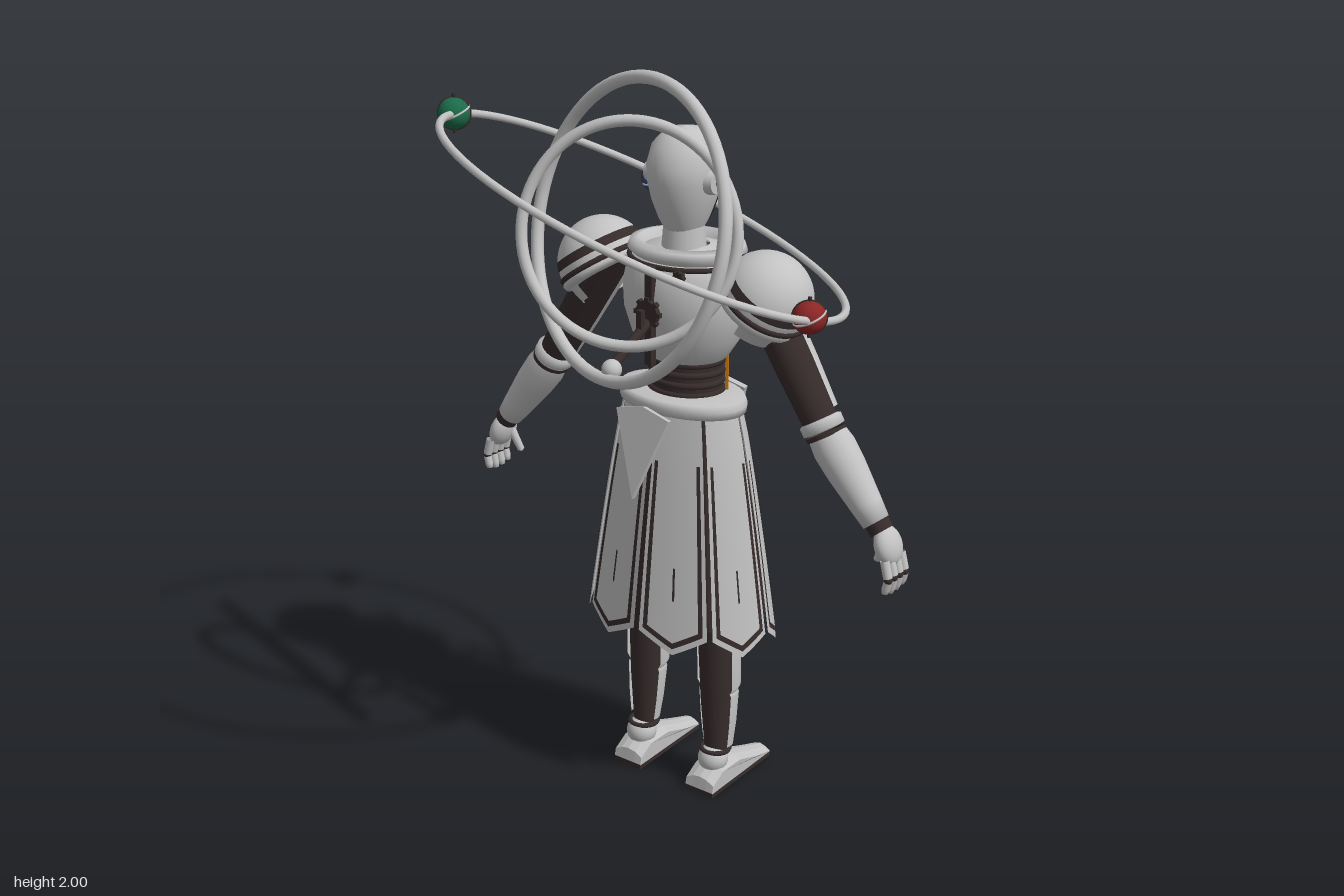
import * as THREE from 'three';

const mat = (name, hex, double) => {
  const m = new THREE.MeshStandardMaterial({ color: hex });
  m.name = name;
  if (double) m.side = THREE.DoubleSide;
  return m;
};
const V = (x, y, z) => new THREE.Vector3(x, y, z);
const BODY_Z = -0.17;

export function createModel() {
  const model = new THREE.Group();
  const shell = mat('pale shell', 0xc2c2c2, true);
  const dark = mat('dark joint', 0x362b2b, true);
  const orange = mat('orange glow', 0xc77a14);
  const red = mat('red', 0x8c2626);
  const green = mat('green', 0x1c6b4a);
  const blue = mat('blue', 0x2a478f);

  const add = (name, geo, m, pos = [0, 0, 0], parent = model, rot = [0, 0, 0], scale = [1, 1, 1]) => {
    const mesh = new THREE.Mesh(geo, m);
    mesh.name = name;
    mesh.position.set(...pos);
    mesh.rotation.set(...rot);
    mesh.scale.set(...scale);
    parent.add(mesh);
    return mesh;
  };
  const ball = r => new THREE.SphereGeometry(r, 24, 16);
  const lathe = (pts, start = 0, len = Math.PI * 2, seg = 36) =>
    new THREE.LatheGeometry(pts.map(p => new THREE.Vector2(p[0], p[1])), seg, start, len);
  // tapered limb from low point a to high point b; profile is [radius, fraction]
  const limb = (name, a, b, profile, m, parent, start, len) => {
    const d = b.clone().sub(a), L = d.length();
    const mesh = add(name, lathe(profile.map(p => [p[0], p[1] * L]), start, len, 24), m, a.toArray(), parent);
    mesh.quaternion.setFromUnitVectors(V(0, 1, 0), d.normalize());
    return mesh;
  };

  // head: egg profile with a dark jaw mask, eyes and ear discs
  const head = new THREE.Group();
  head.name = 'head';
  head.position.z = BODY_Z;
  head.scale.z = 1.1;
  model.add(head);
  add('skull', lathe([[0.045, 1.565], [0.063, 1.6], [0.081, 1.65], [0.092, 1.7], [0.093, 1.74], [0.08, 1.79], [0.048, 1.825], [0, 1.835]]), shell, [0, 0, 0], head);
  add('jawMask', lathe([[0.062, 1.588], [0.068, 1.6], [0.086, 1.65]], Math.PI - 0.75, 1.5), dark, [0, 0, 0], head);
  add('noseSlot', new THREE.BoxGeometry(0.05, 0.016, 0.008), dark, [0, 1.668, -0.089], head);
  for (const s of [1, -1]) {
    const eyeRot = [Math.PI / 2, 0, s * 0.48];
    add('eyeSocket', new THREE.CylinderGeometry(0.026, 0.026, 0.012, 12), dark, [s * 0.043, 1.7, -0.08], head, eyeRot);
    add('eye', new THREE.CylinderGeometry(0.015, 0.015, 0.012, 12), orange, [s * 0.045, 1.7, -0.084], head, eyeRot);
    add('ear', new THREE.CylinderGeometry(0.03, 0.034, 0.024, 24), shell, [s * 0.096, 1.705, 0], head, [0, 0, -s * Math.PI / 2]);
    add('earCap', new THREE.CylinderGeometry(0.011, 0.011, 0.006, 12), dark, [s * 0.109, 1.705, 0], head, [0, 0, -s * Math.PI / 2]);
  }
  add('neck', new THREE.CylinderGeometry(0.052, 0.06, 0.1, 24), shell, [0, 1.55, BODY_Z]);

  // torso: bulging chest, collar and dark ribbed waist
  const torso = new THREE.Group();
  torso.name = 'torso';
  torso.position.z = BODY_Z - 0.015;
  torso.scale.z = 0.87;
  model.add(torso);
  add('chest', lathe([[0.1, 1.225], [0.115, 1.235], [0.15, 1.29], [0.172, 1.36], [0.175, 1.42], [0.165, 1.47], [0.14, 1.51], [0.06, 1.53]]), shell, [0, 0, 0], torso);
  add('collar', lathe([[0.115, 1.505], [0.14, 1.497], [0.162, 1.515], [0.155, 1.535], [0.13, 1.54], [0.115, 1.505]]), shell, [0, 0, 0], torso);
  add('collarSeam', new THREE.TorusGeometry(0.157, 0.007, 8, 40), dark, [0, 1.495, 0], torso, [Math.PI / 2, 0, 0]);
  add('waist', new THREE.CylinderGeometry(0.1, 0.1, 0.2, 32), dark, [0, 1.16, 0], torso);
  for (let i = 0; i < 4; i++) {
    add('waistRib', new THREE.TorusGeometry(0.1, 0.009, 8, 32), dark, [0, 1.14 + i * 0.028, 0], torso, [Math.PI / 2, 0, 0]);
  }
  for (const a of [-1.1, -0.4, 0.4, 1.1]) {
    add('waistLight', new THREE.BoxGeometry(0.011, 0.1, 0.009), orange, [Math.sin(a) * 0.111, 1.185, -Math.cos(a) * 0.111], torso, [0, -a, 0]);
  }
  for (const s of [1, -1]) {
    add('chestSeam', lathe([[0.117, 1.235], [0.152, 1.29], [0.174, 1.36], [0.177, 1.42], [0.167, 1.47]], Math.PI + s * 0.68 - 0.03, 0.06, 2), dark, [0, 0, 0], torso);
  }

  // chest lamp and toothed dial
  const face = [Math.PI / 2, 0, 0];
  add('lampRim', new THREE.TorusGeometry(0.055, 0.009, 10, 32), shell, [0, 1.36, -0.34]);
  add('lamp', ball(0.053), orange, [0, 1.36, -0.335], model, [0, 0, 0], [1, 1, 0.3]);
  const gear = (name, x, y, z, r) => {
    const g = new THREE.Group();
    g.name = name;
    g.position.set(x, y, z);
    model.add(g);
    add('gearDisc', new THREE.CylinderGeometry(r, r, 0.014, 24), dark, [0, 0, 0], g, face);
    for (let i = 0; i < 8; i++) {
      const a = i * Math.PI / 4;
      add('gearTooth', new THREE.BoxGeometry(r * 0.4, r * 0.35, 0.014), dark, [Math.cos(a) * r, Math.sin(a) * r, 0], g, [0, 0, a]);
    }
    return g;
  };
  const dial = gear('chestDial', -0.11, 1.44, -0.34, 0.036);
  add('dialRing', new THREE.TorusGeometry(0.03, 0.006, 8, 24), shell, [0, 0, -0.009], dial);
  add('dialGem', ball(0.014), green, [0, 0, -0.008], dial);

  // spine mechanism and ring mount
  add('spine', new THREE.BoxGeometry(0.022, 0.26, 0.02), dark, [0, 1.37, -0.032]);
  gear('spineGear', 0, 1.38, -0.022, 0.034);
  gear('smallGear', 0.075, 1.48, -0.052, 0.015);
  limb('ringStrut', V(0, 1.27, 0.13), V(0, 1.36, -0.03), [[0.013, 0], [0.013, 1]], dark);
  add('ringBracket', new THREE.BoxGeometry(0.016, 0.11, 0.016), dark, [0, 1.34, 0.008]);
  add('ringHub', ball(0.026), shell, [0.01, 1.275, 0.135]);

  // tilted rings, each spanned by two directions
  const ring = (name, c, h, v, R, r) => {
    const mesh = add(name, new THREE.TorusGeometry(R, r, 12, 72), shell, c);
    const x = V(...h).normalize(), n = x.clone().cross(V(...v)).normalize();
    mesh.quaternion.setFromRotationMatrix(new THREE.Matrix4().makeBasis(x, n.clone().cross(x), n));
  };
  ring('largeHalo', [0, 1.615, 0.063], [0.37, 0, 0.1], [0, 0.375, -0.095], 0.375, 0.017);
  ring('smallHalo', [0.003, 1.605, 0.06], [0.265, 0, -0.11], [0, 0.28, -0.072], 0.277, 0.015);
  ring('orbitRing', [0.01, 1.645, 0], [1, -0.33, 0], [0, 0.32, 1], 0.55, 0.01);
  for (const [name, m, p] of [['greenOrb', green, [-0.472, 1.858, 0.165]], ['redOrb', red, [0.52, 1.487, 0.02]], ['blueOrb', blue, [-0.308, 1.594, -0.45]]]) {
    add(name, ball(0.041), m, p);
    add(name + 'Band', new THREE.TorusGeometry(0.041, 0.003, 6, 32), shell, p, model, [Math.PI / 2 + 0.3, 0.3, 0]);
    add(name + 'Seam', new THREE.TorusGeometry(0.041, 0.003, 6, 32), dark, p, model, [0, 0.6, 0]);
    add(name + 'Pin', new THREE.CylinderGeometry(0.005, 0.005, 0.1, 8), dark, p);
  }

  // belt and skirt: eight pointed panels over a dark lining
  add('belt', lathe([[0.16, 1.1], [0.187, 1.1], [0.19, 1.12], [0.183, 1.138], [0.1, 1.14]]), shell, [0, 0, BODY_Z], model, [0, 0, 0], [1, 1, 0.65]);
  const skirtPoint = (k, u, y, off) => {
    const t = (1.11 - y) / 0.61, rx = 0.175 + 0.108 * t ** 0.85 + off, rz = 0.108 + 0.085 * t ** 0.85 + off;
    const a0 = k * Math.PI / 4, a1 = a0 + Math.PI / 4, am = a0 + u * Math.PI / 4;
    const flat = [Math.sin(a0) * (1 - u) + Math.sin(a1) * u, Math.cos(a0) * (1 - u) + Math.cos(a1) * u];
    return [rx * (flat[0] + Math.sin(am)) / 2, y, BODY_Z + rz * (flat[1] + Math.cos(am)) / 2];
  };
  const hem = u => 0.515 - 0.055 * (1 - Math.abs(2 * u - 1));
  // patch from u0 to u1; y runs between two edge rules
  const patch = (k, u0, u1, top, bottom, off) => {
    const pos = [], idx = [], nu = 8, nv = 8;
    for (let j = 0; j <= nv; j++) for (let i = 0; i <= nu; i++) {
      const u = u0 + (u1 - u0) * i / nu, y = top(u) + (bottom(u) - top(u)) * j / nv;
      pos.push(...skirtPoint(k, u, y, off));
      if (i < nu && j < nv) {
        const a = j * (nu + 1) + i, b = a + nu + 1;
        idx.push(a, b, a + 1, b, b + 1, a + 1);
      }
    }
    const g = new THREE.BufferGeometry();
    g.setAttribute('position', new THREE.Float32BufferAttribute(pos, 3));
    g.setIndex(idx);
    g.computeVertexNormals();
    return g;
  };
  const skirt = new THREE.Group();
  skirt.name = 'skirt';
  model.add(skirt);
  const panelTop = () => 1.11, lift = d => u => hem(u) + d;
  for (let k = 0; k < 8; k++) {
    add('skirtLining', patch(k, 0, 1, panelTop, () => 0.53, -0.012), dark, [0, 0, 0], skirt);
    add('skirtPanel', patch(k, 0.04, 0.96, panelTop, hem, 0.006), shell, [0, 0, 0], skirt);
    add('panelHemStripe', patch(k, 0.1, 0.9, lift(0.034), lift(0.018), 0.009), dark, [0, 0, 0], skirt);
    for (const u of [0.1, 0.84]) {
      add('panelSideStripe', patch(k, u, u + 0.06, () => 0.98, lift(0.02), 0.009), dark, [0, 0, 0], skirt);
    }
    add('panelSlit', patch(k, 0.485, 0.515, () => 0.7, () => 0.61, 0.009), dark, [0, 0, 0], skirt);
  }

  // pointed flaps hanging before and behind the belt
  const tri = new THREE.Shape([[-0.085, 0], [0, -0.225], [0.085, 0], [0, 0.02]].map(p => new THREE.Vector2(...p)));
  const flapGeo = new THREE.ExtrudeGeometry(tri, { depth: 0.014, bevelEnabled: false });
  add('rearFlap', flapGeo, shell, [0, 1.11, -0.012], model, [-0.19, 0, 0]);
  add('frontFlap', flapGeo, shell, [0, 1.11, -0.328], model, [0.19, Math.PI, 0]);

  // foot side profile, tapered towards the toe
  const footShape = new THREE.Shape([[0, 0.012], [0.295, 0.012], [0.29, 0.03], [0.22, 0.05], [0.13, 0.08], [0.05, 0.078], [0.005, 0.05]].map(p => new THREE.Vector2(...p)));
  const soleShape = new THREE.Shape([[0, 0], [0.29, 0], [0.298, 0.014], [0, 0.014]].map(p => new THREE.Vector2(...p)));
  const footGeo = shape => {
    const g = new THREE.ExtrudeGeometry(shape, { depth: 0.092, steps: 4, bevelEnabled: false });
    g.translate(0, 0, -0.046).rotateY(Math.PI / 2);
    const p = g.attributes.position;
    for (let i = 0; i < p.count; i++) {
      const toe = Math.max(0, (-p.getZ(i) - 0.12) / 0.18), side = Math.abs(p.getX(i)) / 0.046;
      p.setX(i, p.getX(i) * (1 - 0.35 * toe * toe));
      if (p.getY(i) > 0.02) p.setY(i, p.getY(i) - 0.016 * side * side);
    }
    g.computeVertexNormals();
    return g;
  };

  // limbs, built for each side
  for (const s of [1, -1]) {
    const side = s > 0 ? 'left' : 'right';
    const P = (x, y, z = BODY_Z) => V(s * x, y, z);
    const leg = new THREE.Group(), arm = new THREE.Group(), pauldron = new THREE.Group();
    leg.name = side + 'Leg';
    arm.name = side + 'Arm';
    pauldron.name = side + 'Pauldron';
    model.add(leg, arm, pauldron);

    limb('legCore', P(0.125, 0.08), P(0.11, 1.05), [[0.03, 0], [0.043, 0.2], [0.05, 0.4], [0.06, 1]], dark, leg);
    const half = [Math.PI * 0.41, Math.PI * 1.18];
    limb('shinPlate', P(0.128, 0.125, -0.173), P(0.124, 0.29, -0.178), [[0.042, 0], [0.05, 0.4], [0.056, 0.95], [0.05, 1]], shell, leg, ...half);
    limb('kneePlate', P(0.124, 0.29, -0.178), P(0.12, 0.5, -0.178), [[0.052, 0], [0.061, 0.08], [0.062, 0.6], [0.058, 1]], shell, leg, ...half);
    limb('shinSlot', P(0.128, 0.16, -0.179), P(0.125, 0.25, -0.181), [[0.049, 0], [0.053, 1]], dark, leg, Math.PI - 0.12, 0.24);
    limb('kneeSlot', P(0.124, 0.32, -0.181), P(0.122, 0.42, -0.181), [[0.0625, 0], [0.0625, 1]], dark, leg, Math.PI - 0.1, 0.2);
    add('ankle', ball(0.042), shell, [s * 0.126, 0.085, -0.155], leg);
    add('ankleRing', new THREE.TorusGeometry(0.038, 0.007, 8, 24), dark, [s * 0.126, 0.112, -0.165], leg, [Math.PI / 2, 0, 0]);
    add('foot', footGeo(footShape), shell, [s * 0.126, 0, -0.09], leg);
    add('sole', footGeo(soleShape), dark, [s * 0.126, 0, -0.09], leg);

    // upper arm is bare behind and plated in front
    limb('upperArmCore', P(0.445, 1.13), P(0.25, 1.44), [[0.046, 0], [0.052, 0.5], [0.055, 1]], dark, arm);
    limb('upperArmPlate', P(0.425, 1.165, -0.175), P(0.25, 1.44, -0.175), [[0.052, 0], [0.058, 0.4], [0.062, 1]], shell, arm, Math.PI * 0.5, Math.PI);
    limb('elbowCuff', P(0.448, 1.125), P(0.43, 1.155), [[0.04, 0], [0.056, 0.1], [0.056, 0.8], [0.04, 1]], shell, arm);
    limb('elbowSeam', P(0.456, 1.113), P(0.45, 1.123), [[0.053, 0], [0.053, 1]], dark, arm);
    limb('forearm', P(0.61, 0.92), P(0.455, 1.117), [[0.001, 0], [0.036, 0], [0.042, 0.2], [0.053, 0.6], [0.056, 0.85], [0.05, 1]], shell, arm);
    limb('forearmSlot', P(0.55, 0.998, -0.172), P(0.505, 1.054, -0.172), [[0.053, 0], [0.056, 1]], dark, arm, Math.PI - 0.12, 0.24);
    limb('wrist', P(0.628, 0.9), P(0.606, 0.928), [[0.032, 0], [0.032, 1]], dark, arm);
    add('palm', ball(0.05), shell, [s * 0.645, 0.865, BODY_Z - 0.005], arm, [0, 0, s * 0.35], [0.6, 1.05, 0.92]);
    for (let i = 0; i < 4; i++) {
      const z = BODY_Z - 0.042 + i * 0.025, drop = Math.abs(i - 1.6) * 0.006;
      limb('fingerBase', P(0.672, 0.795, z), P(0.66, 0.84, z), [[0.012, 0], [0.012, 1]], shell, arm);
      add('knuckle', ball(0.011), dark, [s * 0.673, 0.79, z], arm);
      limb('fingerTip', P(0.664, 0.742 + drop, z), P(0.673, 0.785, z), [[0.001, 0], [0.008, 0.05], [0.011, 0.4], [0.011, 1]], shell, arm);
    }
    limb('thumb', P(0.598, 0.8, -0.2), P(0.63, 0.875, -0.185), [[0.001, 0], [0.01, 0.08], [0.013, 1]], shell, arm);

    // shoulder dome leaning outwards, with stacked rims
    pauldron.position.set(s * 0.262, 1.435, BODY_Z + 0.005);
    pauldron.rotation.z = -s * 0.6;
    add('dome', new THREE.SphereGeometry(0.122, 32, 14, 0, Math.PI * 2, 0, Math.PI / 2), shell, [0, 0, 0], pauldron);
    add('domeSeam', new THREE.TorusGeometry(0.121, 0.008, 8, 40), dark, [0, -0.004, 0], pauldron, [Math.PI / 2, 0, 0]);
    add('domeRim', lathe([[0.09, -0.03], [0.122, -0.03], [0.127, -0.018], [0.122, -0.008]]), shell, [0, 0, 0], pauldron);
    add('domeBand', lathe([[0.118, 0.045], [0.1225, 0.03], [0.125, 0.02]].map(p => [Math.sqrt(0.124 ** 2 - p[1] ** 2), p[1]])), dark, [0, 0, 0], pauldron);
    add('lowerPlate', lathe([[0.098, -0.075], [0.112, -0.03]], s > 0 ? 0.2 : Math.PI + 0.2, Math.PI - 0.4), shell, [0, 0, 0], pauldron);
    add('shoulderGem', ball(0.017), s > 0 ? red : green, [s * 0.29, 1.445, -0.293]);
  }
  return model;
}
